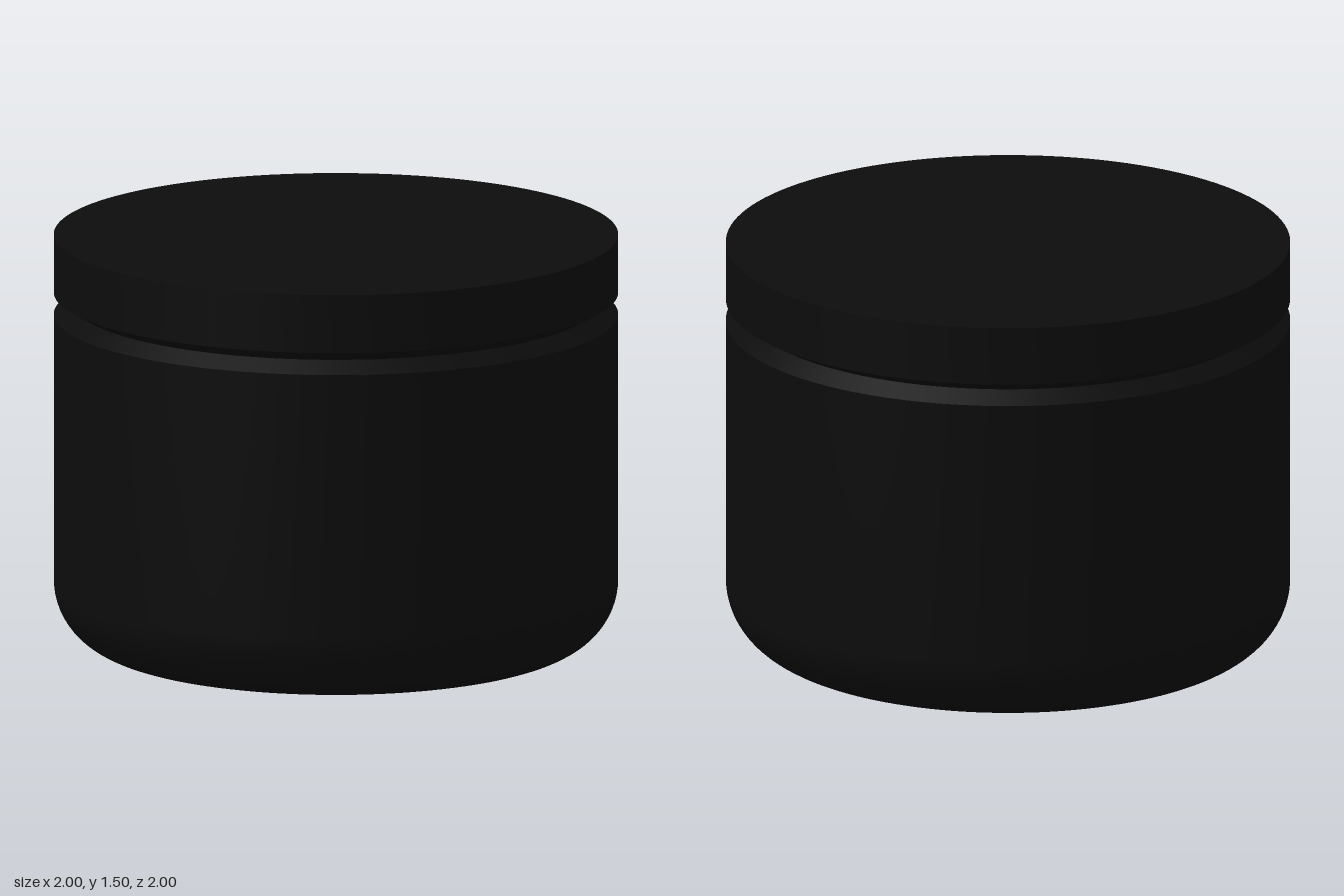
import * as THREE from 'three';
import { toCreasedNormals } from 'three/addons/utils/BufferGeometryUtils.js';

const RADIUS = 1, HEIGHT = 1.5, FILLET = 0.25;
const SEAM_RADIUS = 0.93, SEAM_Y = 1.25, GROOVE = 0.04;

const material = new THREE.MeshStandardMaterial({ color: 0x0c0c0c });

// Turned part from a bottom-to-top outline, with sharp corners kept sharp
function turned(name, outline) {
  const points = outline.map(([x, y]) => new THREE.Vector2(x, y));
  const geometry = toCreasedNormals(new THREE.LatheGeometry(points, 128), 0.5);
  const mesh = new THREE.Mesh(geometry, material);
  mesh.name = name;
  return mesh;
}

export function createModel() {
  const group = new THREE.Group();
  group.name = 'roundJar';

  // Jar body: flat base, rounded lower edge, straight wall, lower groove slope
  const body = [[0, 0]];
  const steps = 16;
  for (let i = 0; i <= steps; i++) {
    const a = (i / steps) * Math.PI / 2;
    body.push([
      RADIUS - FILLET + FILLET * Math.sin(a),
      FILLET - FILLET * Math.cos(a),
    ]);
  }
  body.push([RADIUS, SEAM_Y - GROOVE], [SEAM_RADIUS, SEAM_Y]);
  group.add(turned('body', body));

  // Lid: upper groove slope, straight rim, flat top
  group.add(turned('lid', [
    [SEAM_RADIUS, SEAM_Y],
    [RADIUS, SEAM_Y + GROOVE],
    [RADIUS, HEIGHT],
    [0, HEIGHT],
  ]));

  return group;
}
